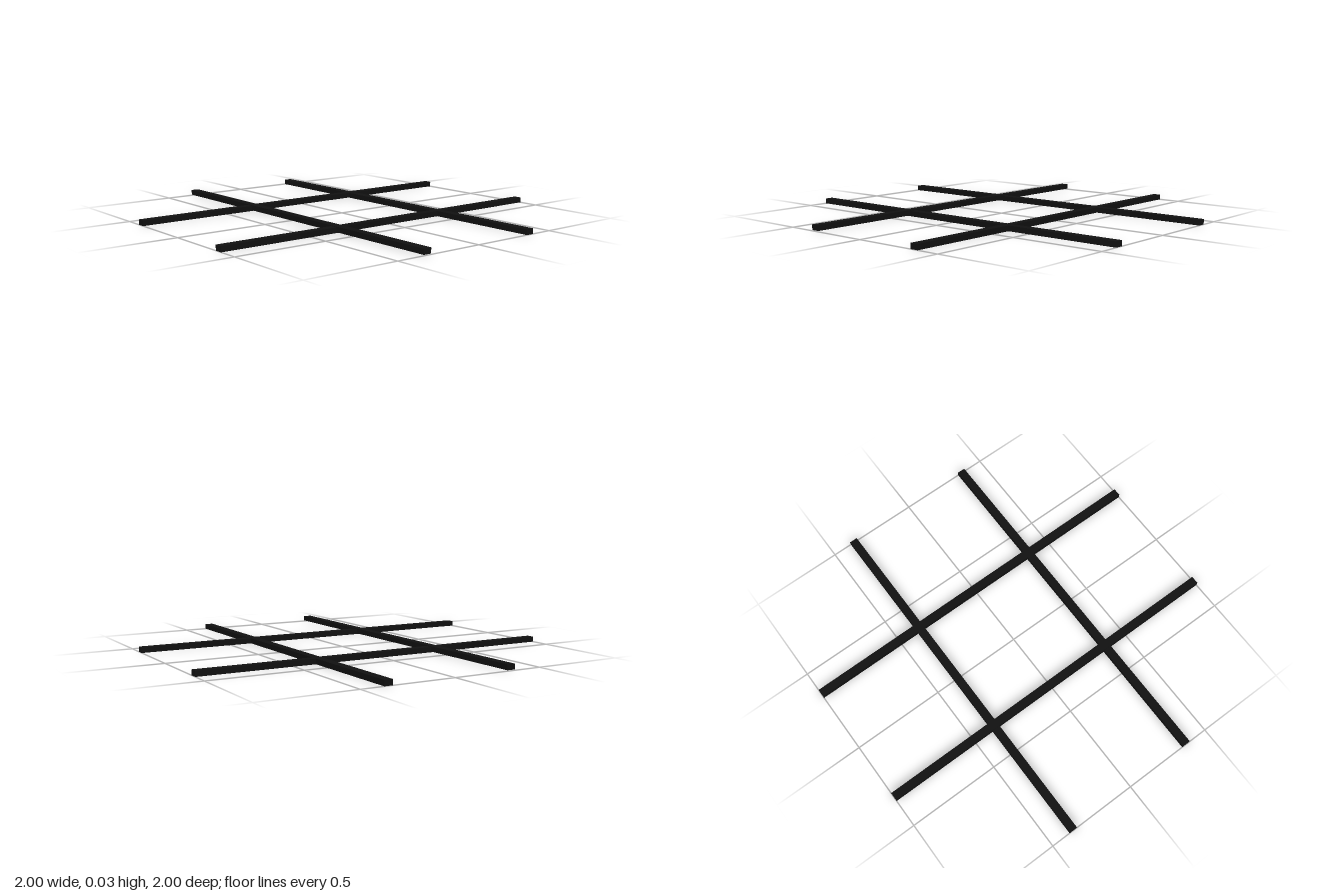
import * as THREE from 'three';

// Four crossed flat bars forming a grid of nine cells
export function createModel() {
  const model = new THREE.Group();
  model.name = 'crossedBars';
  const black = new THREE.MeshStandardMaterial({ color: 0x111111 });
  const WIDTH = 0.044, HEIGHT = 0.028, LENGTH = 2;

  const addBar = (name, alongX, offset, base = 0) => {
    const size = alongX ? [LENGTH, HEIGHT, WIDTH] : [WIDTH, HEIGHT, LENGTH];
    const bar = new THREE.Mesh(new THREE.BoxGeometry(...size), black);
    bar.name = name;
    bar.position.set(alongX ? 0 : offset, base + HEIGHT / 2, alongX ? offset : 0);
    model.add(bar);
    return bar;
  };

  // Bars running front to back
  addBar('leftBar', false, 0.368);
  addBar('rightBar', false, -0.372);

  // Bars running side to side; the front one sits slightly higher
  addBar('backBar', true, -0.357);
  addBar('frontBar', true, 0.325, 0.004);

  return model;
}
